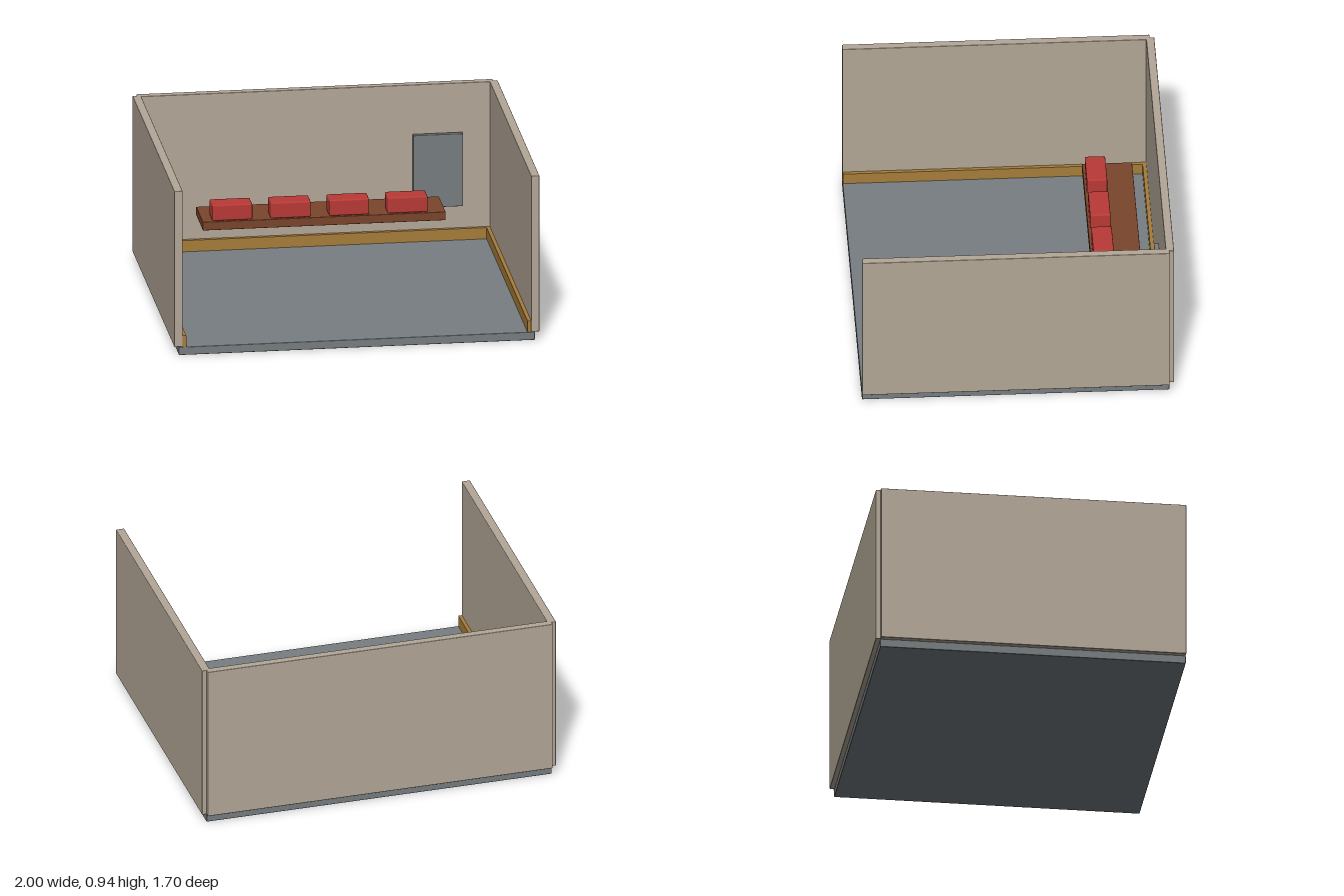
import * as THREE from 'three';
import { RoundedBoxGeometry } from 'three/addons/geometries/RoundedBoxGeometry.js';

const material = (name, color) => {
  const m = new THREE.MeshStandardMaterial({ color });
  m.name = name;
  return m;
};

export function createModel() {
  const model = new THREE.Group();
  model.name = 'openRoom';

  const plaster = material('beigePlaster', 0xb3a797);
  const slate = material('slateGrey', 0x777e81);
  const oak = material('oakTrim', 0xa67d3a);
  const walnut = material('walnut', 0x7a452b);
  const red = material('redFabric', 0xb93a36);

  // Box from its limits on each axis, with slightly softened edges
  function box(name, mat, [x0, x1], [y0, y1], [z0, z1], bevel = 0.004) {
    const size = [x1 - x0, y1 - y0, z1 - z0];
    const geometry = bevel > 0
      ? new RoundedBoxGeometry(...size, 2, bevel)
      : new THREE.BoxGeometry(...size);
    const mesh = new THREE.Mesh(geometry, mat);
    mesh.name = name;
    mesh.position.set((x0 + x1) / 2, (y0 + y1) / 2, (z0 + z1) / 2);
    model.add(mesh);
  }

  // Floor slab and back wall
  box('floor', slate, [-0.975, 0.975], [0, 0.046], [-0.823, 0.848]);
  box('backWall', plaster, [-0.975, 0.975], [0.047, 0.937], [-0.848, -0.803]);
  box('backBaseboard', oak, [-0.953, 0.953], [0.046, 0.11], [-0.804, -0.782], 0);

  // Side walls with their baseboards
  for (const [side, s] of [['left', 1], ['right', -1]]) {
    const span = (a, b) => [a * s, b * s].sort((p, q) => p - q);
    box(`${side}Wall`, plaster, span(0.954, 1), [0.047, 0.937], [-0.823, 0.848]);
    box(`${side}Baseboard`, oak, span(0.934, 0.955), [0.046, 0.11], [-0.804, 0.846], 0);
  }

  // Wall panel
  box('wallPanel', slate, [0.53, 0.803], [0.245, 0.66], [-0.79, -0.762], 0.003);

  // Floating bench with a row of four cushions
  box('bench', walnut, [-0.667, 0.663], [0.277, 0.325], [-0.71, -0.438], 0.003);
  for (let i = 0; i < 4; i++) {
    const x = -0.504 + i * 0.32;
    box(`cushion${i + 1}`, red, [x - 0.11, x + 0.11], [0.325, 0.415], [-0.561, -0.45], 0.008);
  }

  return model;
}
